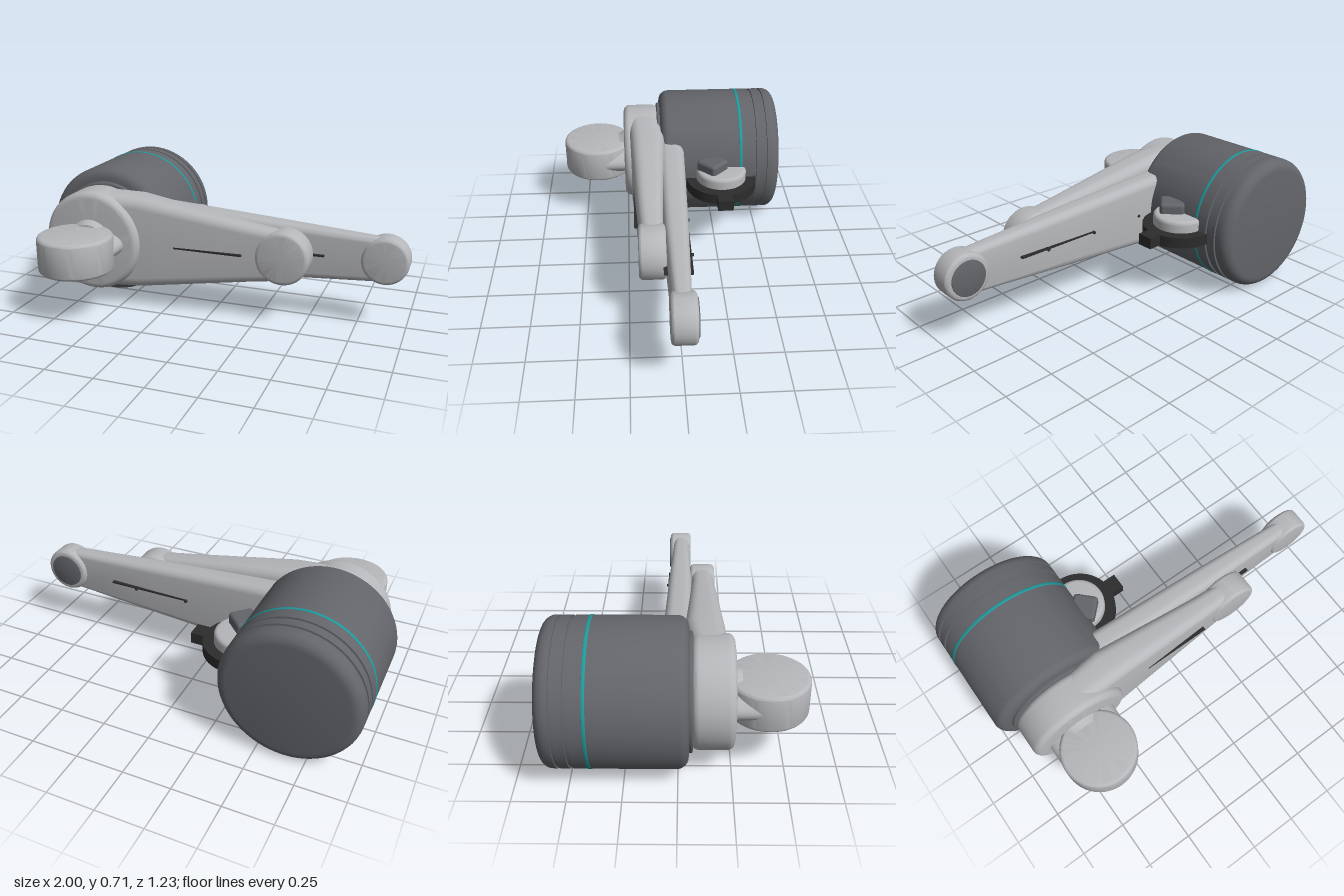
import * as THREE from 'three';
import { toCreasedNormals } from 'three/addons/utils/BufferGeometryUtils.js';
import { RoundedBoxGeometry } from 'three/addons/geometries/RoundedBoxGeometry.js';

const mat = (name, color) => {
  const m = new THREE.MeshStandardMaterial({ color });
  m.name = name;
  return m;
};

// Turned solid along +y: [radius, height] pairs, sharp edges kept
function turned(points, segments = 64) {
  const g = new THREE.LatheGeometry(points.map(([r, h]) => new THREE.Vector2(r, h)), segments);
  return toCreasedNormals(g, 0.6);
}

// Quarter-round profile points from (r, h) corners
function puckProfile(r, h0, h1, f, middle = []) {
  const pts = [[0, h0]];
  for (let i = 0; i <= 6; i++) {
    const a = (i / 6) * Math.PI / 2;
    pts.push([r - f + f * Math.sin(a), h0 + f - f * Math.cos(a)]);
  }
  pts.push(...middle);
  for (let i = 0; i <= 6; i++) {
    const a = (i / 6) * Math.PI / 2;
    pts.push([r - f + f * Math.cos(a), h1 - f + f * Math.sin(a)]);
  }
  pts.push([0, h1]);
  return pts;
}

// Tapered bar along x; sections are [x, halfHeight, zBack, zFront, cornerRadius]
function taperedBar(sections, cy) {
  const pos = [], idx = [], steps = 6, n = 4 * (steps + 1);
  for (const [x, hh, z0, z1, f] of sections) {
    const hz = (z1 - z0) / 2, cz = (z0 + z1) / 2;
    for (let c = 0; c < 4; c++) {
      const sy = c === 0 || c === 3 ? 1 : -1, sz = c < 2 ? 1 : -1;
      for (let i = 0; i <= steps; i++) {
        const a = (c + i / steps) * Math.PI / 2;
        pos.push(x, cy + sy * (hh - f) + f * Math.cos(a), cz + sz * (hz - f) + f * Math.sin(a));
      }
    }
  }
  for (let s = 0; s < sections.length - 1; s++) {
    for (let i = 0; i < n; i++) {
      const a = s * n + i, b = s * n + (i + 1) % n;
      idx.push(a, b, a + n, b, b + n, a + n);
    }
  }
  const last = (sections.length - 1) * n;
  for (let i = 1; i < n - 1; i++) {
    idx.push(0, i + 1, i, last, last + i, last + i + 1);
  }
  const g = new THREE.BufferGeometry();
  g.setAttribute('position', new THREE.Float32BufferAttribute(pos, 3));
  g.setIndex(idx);
  return toCreasedNormals(g, 0.6);
}

export function createModel() {
  const light = mat('lightGrey', 0xb6b7ba);
  const dark = mat('darkGrey', 0x63656a);
  const black = mat('black', 0x2c2c2d);
  const teal = mat('teal', 0x1f9a9c);
  const model = new THREE.Group();
  model.name = 'jointedArm';

  const add = (name, geo, m, x = 0, y = 0, z = 0) => {
    const mesh = new THREE.Mesh(geo, m);
    mesh.name = name;
    mesh.position.set(x, y, z);
    model.add(mesh);
    return mesh;
  };
  const box = (name, m, x0, x1, y0, y1, z0, z1) =>
    add(name, new THREE.BoxGeometry(x1 - x0, y1 - y0, z1 - z0), m,
      (x0 + x1) / 2, (y0 + y1) / 2, (z0 + z1) / 2);
  const zPuck = (name, m, x, y, r, z0, z1, f, middle) =>
    add(name, turned(puckProfile(r, z0, z1, f, middle)).rotateX(Math.PI / 2), m, x, y);

  const CX = -0.645, CY = 0.36;

  // Motor housing with two grooves near its back
  const R = 0.355, grooves = [];
  for (const z of [-0.54, -0.48]) {
    grooves.push([R, z - 0.008], [R - 0.009, z - 0.007], [R - 0.009, z + 0.007], [R, z + 0.008]);
  }
  zPuck('motorHousing', dark, CX, CY, R, -0.62, 0.05, 0.055, grooves);
  zPuck('accentRing', teal, CX, CY, R + 0.002, -0.407, -0.391, 0.002);
  zPuck('hubCollar', dark, CX, CY, 0.282, 0.03, 0.068, 0.008);

  // Front hub and arm
  zPuck('frontHub', light, CX, CY + 0.003, 0.27, 0.06, 0.26, 0.035);
  add('frontArm', taperedBar([
    [-0.62, 0.262, 0.055, 0.232, 0.06],
    [-0.4, 0.252, 0.03, 0.222, 0.06],
    [0.2, 0.155, 0.065, 0.192, 0.045],
    [0.36, 0.132, 0.07, 0.182, 0.04],
  ], 0.363), light);
  zPuck('frontArmTip', light, 0.382, 0.362, 0.14, 0.058, 0.195, 0.022);
  zPuck('frontTipCap', dark, 0.382, 0.362, 0.1, 0.053, 0.06, 0.002);
  box('frontArmSlot', black, -0.19, 0.18, 0.36, 0.368, 0.19, 0.213);

  // Rear arm
  add('rearArm', taperedBar([
    [-0.55, 0.205, -0.08, 0.06, 0.045],
    [-0.3, 0.19, -0.075, 0.065, 0.045],
    [0.3, 0.152, -0.058, 0.064, 0.04],
    [0.86, 0.114, -0.036, 0.05, 0.03],
  ], 0.362), light);
  zPuck('rearArmTip', light, 0.878, 0.362, 0.121, -0.06, 0.062, 0.02);
  zPuck('rearTipCap', dark, 0.878, 0.362, 0.092, -0.065, -0.058, 0.002);
  box('rearArmFrontSlot', black, 0.22, 0.575, 0.36, 0.368, 0.05, 0.076);
  box('rearArmBackSlot', black, 0.12, 0.575, 0.36, 0.368, -0.067, -0.04);
  for (const x of [-0.2, 0.12, 0.42]) {
    zPuck('rearScrew', black, x, 0.362, 0.008, -0.077, -0.04, 0.002);
  }

  // Front knob on its flared oval neck
  add('frontKnob', turned(puckProfile(0.195, 0.265, 0.456, 0.022)), light, -0.644, 0, 0.418);
  add('knobCap', turned(puckProfile(0.155, 0.26, 0.268, 0.002)), dark, -0.644, 0, 0.418);
  const neck = new THREE.CylinderGeometry(1, 1, 0.2, 48).rotateX(Math.PI / 2).scale(0.19, 0.085, 1);
  add('knobNeck', neck, light, -0.644, CY, 0.31);
  const flare = turned([[0.135, 0], [0.118, 0.02], [0.108, 0.045], [0, 0.06]], 48).rotateX(Math.PI / 2);
  add('neckFlare', flare, light, -0.644, CY, 0.25);

  // Side connector: disc, clamp ring with tab, turn key
  const PX = -0.295, PZ = -0.285;
  add('sideDisc', turned(puckProfile(0.14, 0.292, 0.43, 0.02)), light, PX, 0, PZ);
  add('clampRing', turned([[0.138, 0.31], [0.196, 0.31], [0.196, 0.368], [0.138, 0.368], [0.138, 0.31]]),
    black, PX, 0, PZ);
  box('clampTab', black, -0.12, -0.035, 0.31, 0.37, -0.33, -0.245);
  const key = add('turnKey', new RoundedBoxGeometry(0.13, 0.245, 0.13, 3, 0.018), dark, -0.287, 0.362, -0.235);
  key.rotation.y = Math.PI / 4;

  return model;
}
